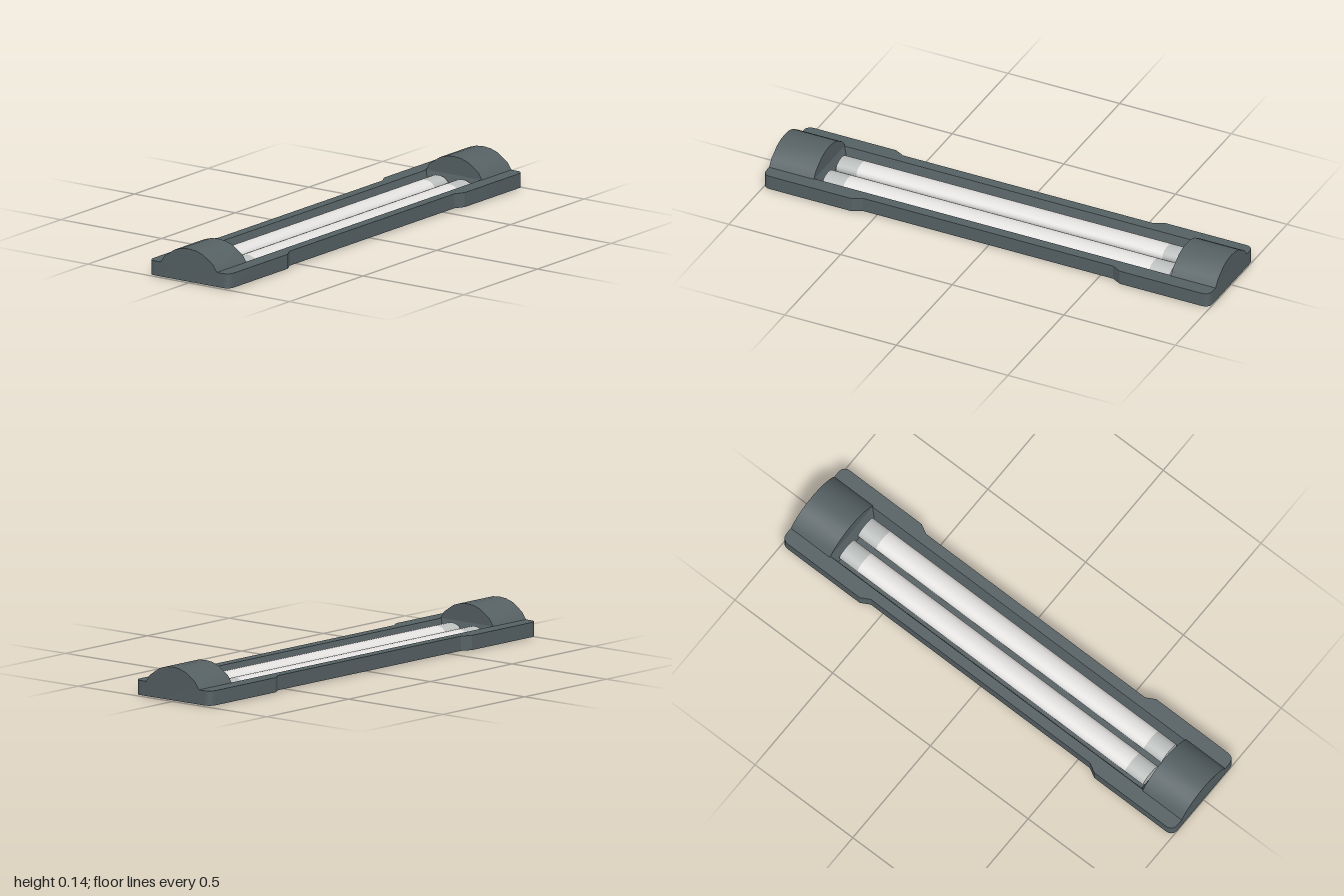
import * as THREE from 'three';
import { toCreasedNormals } from 'three/addons/utils/BufferGeometryUtils.js';

const housingMat = new THREE.MeshStandardMaterial({ color: 0x566164, side: THREE.DoubleSide });
housingMat.name = 'housing grey';
const tubeMat = new THREE.MeshStandardMaterial({ color: 0xe4e2e1 });
tubeMat.name = 'tube white';
const capMat = new THREE.MeshStandardMaterial({ color: 0xbcc0be });
capMat.name = 'cap grey';

const BASE = 0.005, RIM = 0.065, FLOOR = 0.0015;

// Wall joining two closed loops of plan points at heights ya and yb
function wall(a, ya, b, yb) {
  const pos = [];
  const put = (p, y) => pos.push(p.x, y, -p.y);
  for (let i = 0; i < a.length; i++) {
    const j = (i + 1) % a.length;
    put(a[i], ya); put(a[j], ya); put(b[j], yb);
    put(a[i], ya); put(b[j], yb); put(b[i], yb);
  }
  const g = new THREE.BufferGeometry();
  g.setAttribute('position', new THREE.Float32BufferAttribute(pos, 3));
  return toCreasedNormals(g, 0.5);
}

const rect = (x, z) => [[x, -z], [x, z], [-x, z], [-x, -z]].map(p => new THREE.Vector2(...p));

function flat(shape, y) {
  return new THREE.ShapeGeometry(shape, 6).rotateX(-Math.PI / 2).translate(0, y, 0);
}

// Plan of the housing: wide rounded ends, narrower waist
function outline() {
  const s = new THREE.Shape();
  const r = 0.035, w = 0.2, n = 0.178;
  s.moveTo(w - r, -1);
  s.quadraticCurveTo(w, -1, w, -1 + r);
  for (const [x, y] of [[w, -0.6], [n, -0.56], [n, 0.56], [w, 0.6], [w, 1 - r]]) s.lineTo(x, y);
  s.quadraticCurveTo(w, 1, w - r, 1);
  s.lineTo(-w + r, 1);
  s.quadraticCurveTo(-w, 1, -w, 1 - r);
  for (const [x, y] of [[-w, 0.6], [-n, 0.56], [-n, -0.56], [-w, -0.6], [-w, -1 + r]]) s.lineTo(x, y);
  s.quadraticCurveTo(-w, -1, -w + r, -1);
  return s;
}

export function createModel() {
  const model = new THREE.Group();
  model.name = 'twinTubeLight';
  const add = (name, geo, mat, parent = model) => {
    const m = new THREE.Mesh(geo, mat);
    m.name = name;
    parent.add(m);
    return m;
  };

  // Housing shell, open underneath
  const plan = outline();
  const edge = plan.extractPoints(6).shape;
  if (edge[0].distanceTo(edge[edge.length - 1]) < 1e-6) edge.pop();
  add('housingWall', wall(edge, BASE, edge, RIM), housingMat);
  const opening = rect(0.135, 0.8), bottom = rect(0.115, 0.775);
  plan.holes.push(new THREE.Path(opening.slice().reverse()));
  add('housingTop', flat(plan, RIM), housingMat);

  // Sunken tray with sloping sides
  add('trayWall', wall(opening, RIM, bottom, FLOOR), housingMat);
  add('trayFloor', flat(new THREE.Shape(bottom), FLOOR), housingMat);

  // Domed end covers
  const half = [[0.14, RIM], [0.12, 0.094], [0.07, 0.127], [0.035, 0.138]];
  const profile = [...half, [0, 0.141], ...half.map(([x, y]) => [-x, y]).reverse()];
  const dome = new THREE.Shape(profile.map(p => new THREE.Vector2(...p)));
  for (const [name, z] of [['frontCover', 0.8], ['backCover', -1]]) {
    const g = new THREE.ExtrudeGeometry(dome, { depth: 0.2, bevelEnabled: false }).translate(0, 0, z);
    add(name, toCreasedNormals(g, 0.6), housingMat);
  }

  // Flattened tubes with a cap at each end
  const bar = (len, z) => new THREE.CylinderGeometry(1, 1, len, 20)
    .rotateX(Math.PI / 2).scale(0.049, 0.03, 1).translate(0, 0.03, z);
  for (const side of [1, -1]) {
    const tube = new THREE.Group();
    tube.name = side > 0 ? 'leftTube' : 'rightTube';
    tube.position.x = side * 0.06;
    add('glass', bar(1.37, 0), tubeMat, tube);
    for (const end of [1, -1]) add(end > 0 ? 'frontCap' : 'backCap', bar(0.092, end * 0.731), capMat, tube);
    model.add(tube);
  }
  return model;
}
